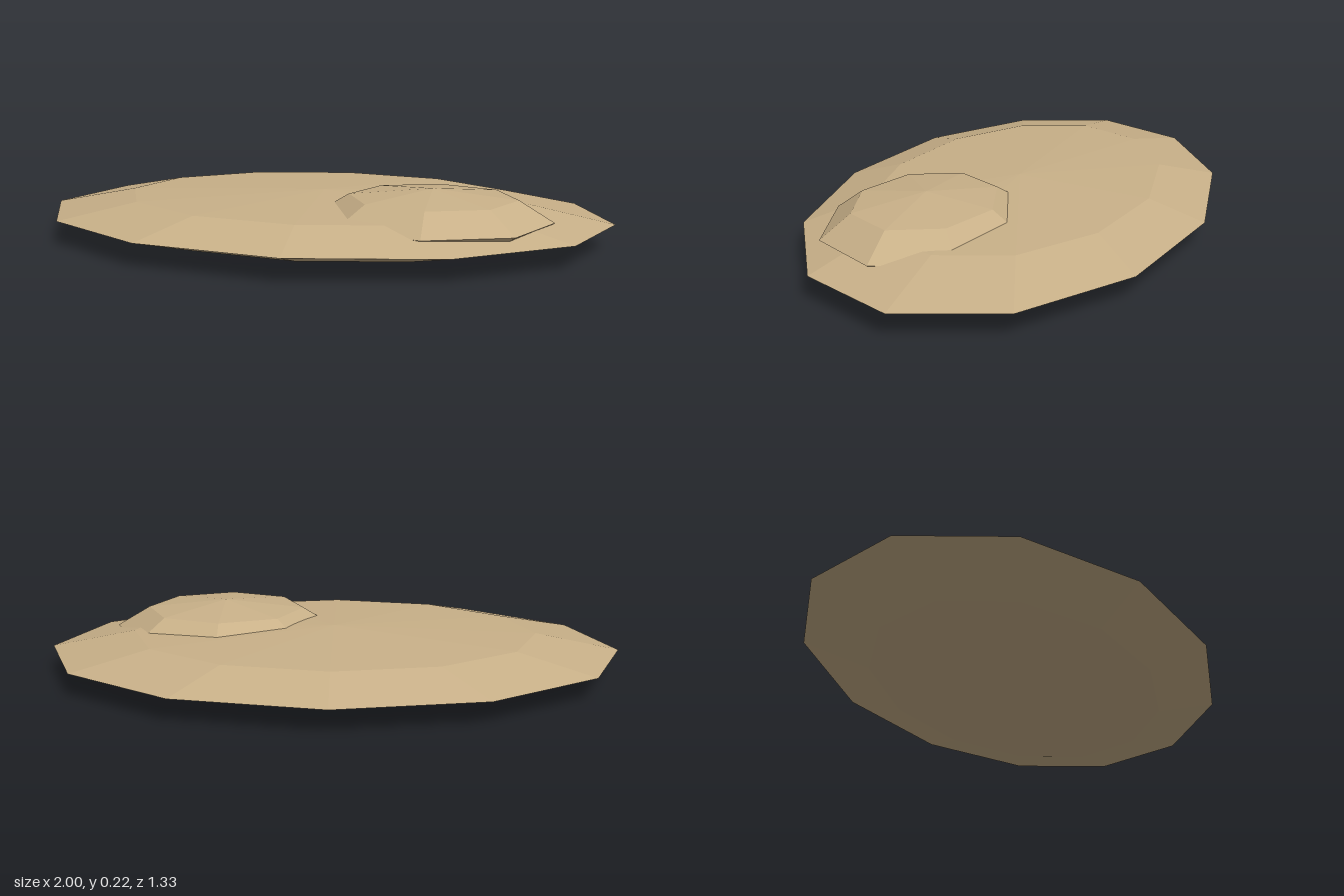
import * as THREE from 'three';

export function createModel() {
  const group = new THREE.Group();
  const sand = new THREE.MeshStandardMaterial({ color: 0xc8b088 });
  sand.name = 'sand';

  // Flattened low-poly ellipsoid with faceted faces
  function mound(name, sides, radii, centre) {
    const geometry = new THREE.SphereGeometry(1, sides, 4).scale(...radii).toNonIndexed();
    geometry.computeVertexNormals();
    const mesh = new THREE.Mesh(geometry, sand);
    mesh.name = name;
    mesh.position.set(...centre);
    group.add(mesh);
  }

  // Broad base and the smaller off-centre mound on it
  mound('sandBase', 12, [1, 0.0833, 0.6667], [0, 0.0833, 0]);
  mound('sandMound', 8, [0.4, 0.1, 0.3333], [0.4, 0.1167, 0.1667]);

  return group;
}
